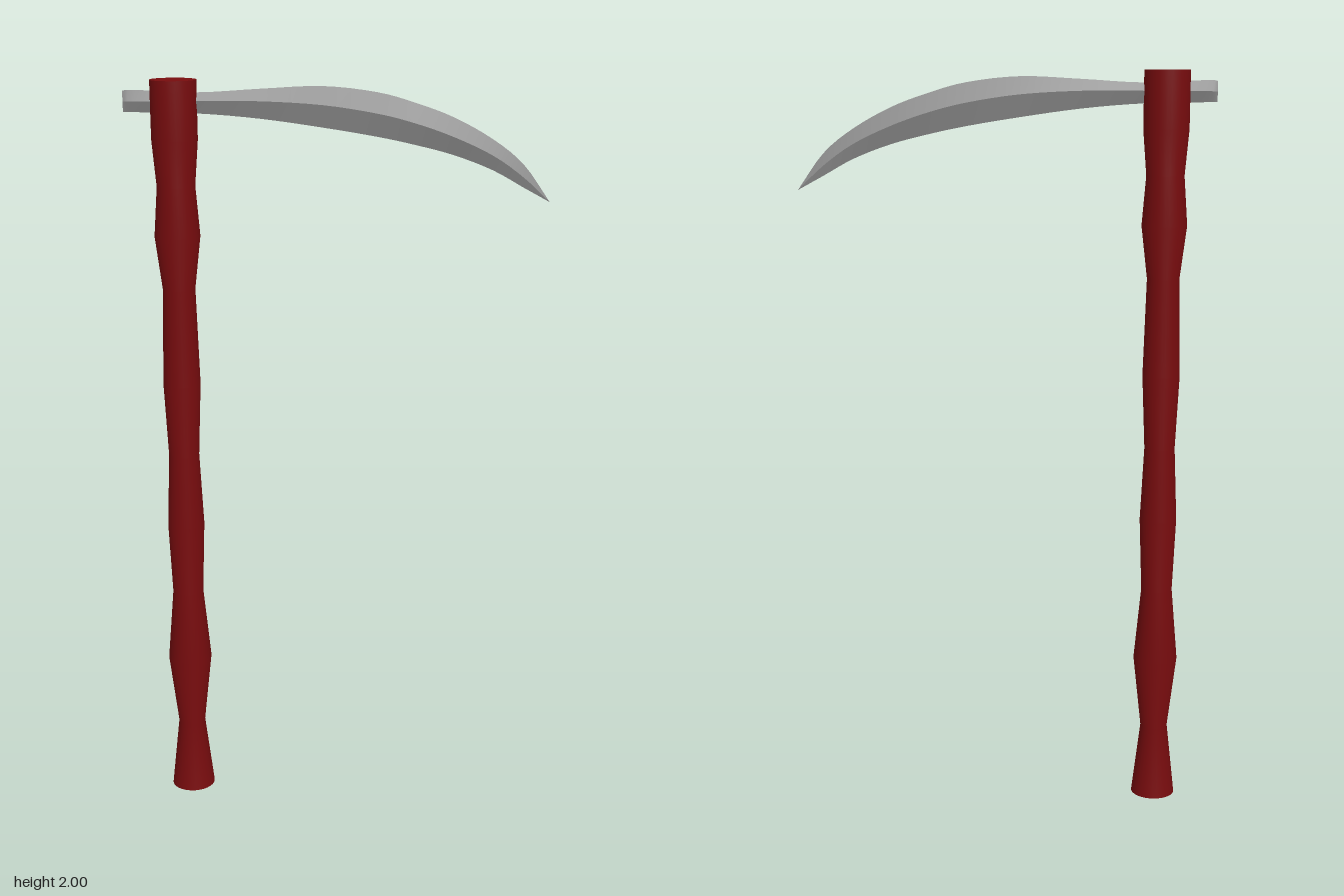
import * as THREE from 'three';

const SHAFT_X = -0.42;

// Turned handle: [radius, height] rings, closed with flat discs
function makeHandle(material) {
  const profile = [
    [0.06, 0], [0.037, 0.2], [0.06, 0.4], [0.042, 0.6], [0.05, 0.8], [0.041, 1],
    [0.05, 1.2], [0.043, 1.46], [0.06, 1.6], [0.05, 1.73], [0.06, 1.85], [0.06, 2],
  ].map(([r, y]) => new THREE.Vector2(r, y));
  const handle = new THREE.Group();
  handle.name = 'handle';
  const shaft = new THREE.Mesh(new THREE.LatheGeometry(profile, 32), material);
  shaft.name = 'shaft';
  handle.add(shaft);
  for (const [name, y, turn] of [['topCap', 2, -1], ['bottomCap', 0, 1]]) {
    const cap = new THREE.Mesh(new THREE.CircleGeometry(0.06, 32), material);
    cap.name = name;
    cap.position.y = y;
    cap.rotation.x = turn * Math.PI / 2;
    handle.add(cap);
  }
  handle.position.x = SHAFT_X;
  return handle;
}

// Curved blade: diamond section swept along four smooth rails
function makeBlade(material) {
  // x, top edge, ridge, bottom edge, half thickness
  const stations = [
    [-0.55, 1.972, 1.945, 1.918, 0.005],
    [-0.52, 1.974, 1.946, 1.918, 0.01],
    [-0.36, 1.968, 1.947, 1.915, 0.011],
    [-0.2, 1.977, 1.947, 1.902, 0.014],
    [-0.04, 1.984, 1.938, 1.88, 0.017],
    [0.1, 1.969, 1.917, 1.857, 0.018],
    [0.2, 1.942, 1.892, 1.836, 0.018],
    [0.3, 1.905, 1.857, 1.81, 0.016],
    [0.4, 1.85, 1.81, 1.772, 0.012],
    [0.48, 1.786, 1.754, 1.728, 0.007],
    [0.55, 1.69, 1.69, 1.69, 0],
  ];
  const rail = (column, side) => new THREE.CatmullRomCurve3(
    stations.map((s) => new THREE.Vector3(s[0], s[column], side * s[4])),
    false, 'catmullrom', 0.5,
  ).getPoints(40);
  const rails = [rail(1, 0), rail(2, 1), rail(3, 0), rail(2, -1)];

  // Each facet has its own vertices, so the ridge and edges stay sharp
  const positions = [];
  const index = [];
  rails.forEach((a, k) => {
    const b = rails[(k + 1) % 4];
    const base = positions.length / 3;
    a.forEach((p, i) => {
      positions.push(...p.toArray(), ...b[i].toArray());
      if (i === 0) return;
      const n = base + 2 * i;
      index.push(n - 2, n - 1, n, n - 1, n + 1, n);
    });
  });
  // Blunt butt end
  const end = positions.length / 3;
  rails.forEach((r) => positions.push(...r[0].toArray()));
  index.push(end, end + 3, end + 2, end, end + 2, end + 1);

  const geometry = new THREE.BufferGeometry();
  geometry.setAttribute('position', new THREE.Float32BufferAttribute(positions, 3));
  geometry.setIndex(index);
  geometry.computeVertexNormals();
  const blade = new THREE.Mesh(geometry, material);
  blade.name = 'blade';
  return blade;
}

export function createModel() {
  const darkRed = new THREE.MeshStandardMaterial({ color: 0x780c0e });
  darkRed.name = 'darkRed';
  const steel = new THREE.MeshStandardMaterial({ color: 0x909090 });
  steel.name = 'steelGrey';

  const model = new THREE.Group();
  model.name = 'scythe';
  model.add(makeHandle(darkRed), makeBlade(steel));
  return model;
}
